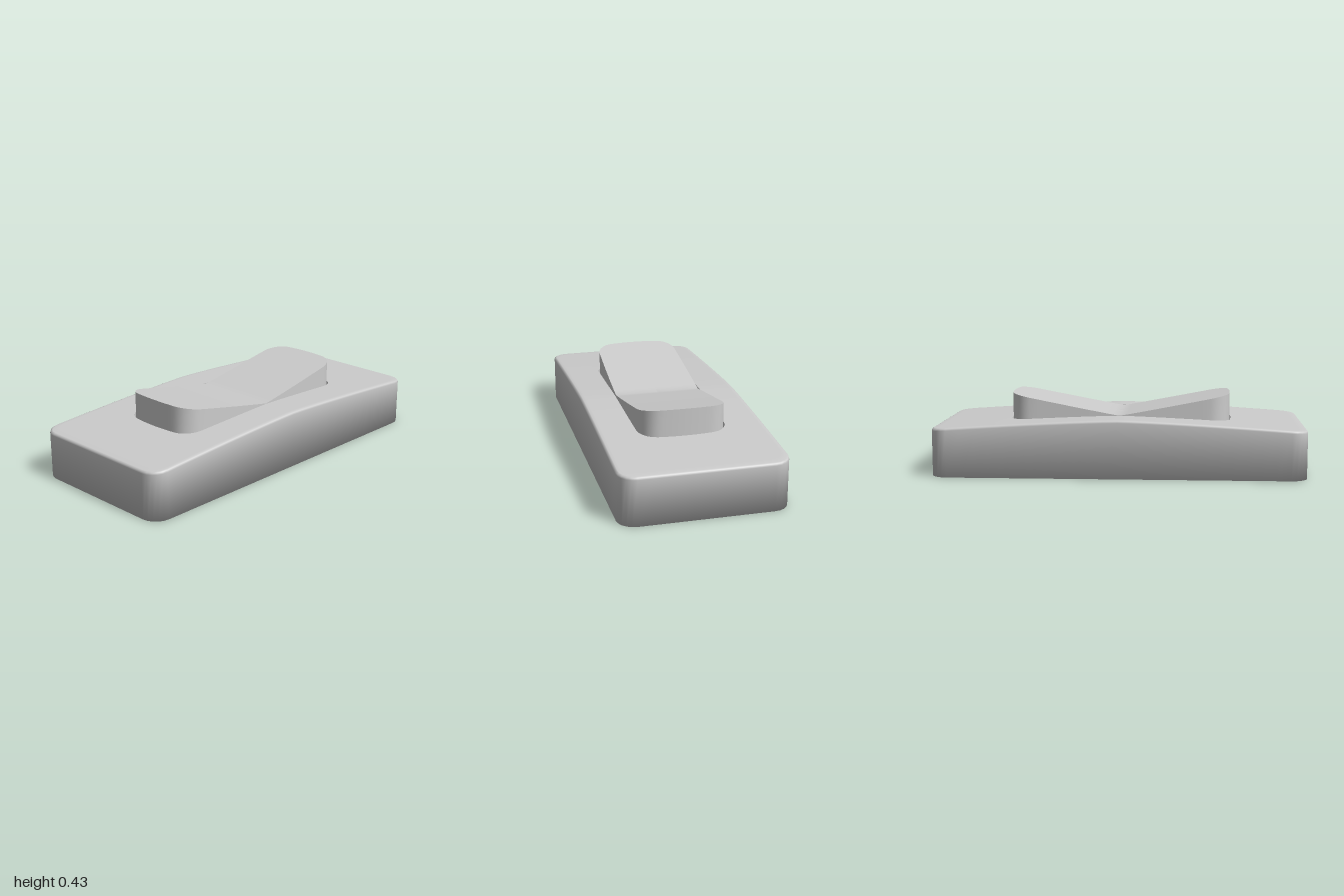
import * as THREE from 'three';
import { mergeGeometries } from 'three/addons/utils/BufferGeometryUtils.js';

const SIDE = 12, ARC = 5, END = 5;

// Rounded rectangle of [x, z] points from +x towards +z; bulges bow the sides and ends outwards
function outline(hw, hd, r, sideBulge = 0, endBulge = 0) {
  const quarter = [];
  for (let i = 0; i < SIDE; i++) quarter.push([hw, (hd - r) * i / SIDE]);
  for (let i = 0; i <= ARC; i++) {
    const a = i / ARC * Math.PI / 2;
    quarter.push([hw - r + r * Math.cos(a), hd - r + r * Math.sin(a)]);
  }
  for (let i = 1; i <= END; i++) quarter.push([(hw - r) * (1 - i / END), hd]);
  const bowed = quarter.map(([x, z]) => [
    x - sideBulge * (x / hw) * (z / hd) ** 2,
    z - endBulge * (z / hd) * (x / hw) ** 2,
  ]);
  const half = [...bowed, ...bowed.slice(0, -1).reverse().map(([x, z]) => [-x, z])];
  return [...half, ...half.slice(1, -1).reverse().map(([x, z]) => [x, -z])];
}

// Lifts an outline to a height, which is a number or a rule of z
function ring(points, height, sx = 1, sz = 1) {
  return points.map(([x, z]) => {
    const pz = z * sz;
    return new THREE.Vector3(x * sx, typeof height === 'function' ? height(pz) : height, pz);
  });
}

const blend = (a, b, t) => a.map(([x, z], i) => [x + (b[i][0] - x) * t, z + (b[i][1] - z) * t]);

// Smooth skin through a list of equal rings
function skin(rings) {
  const n = rings[0].length, index = [];
  for (let i = 0; i < rings.length - 1; i++) {
    for (let j = 0; j < n; j++) {
      const a = i * n + j, b = i * n + (j + 1) % n;
      index.push(a, a + n, b, b, a + n, b + n);
    }
  }
  const geometry = new THREE.BufferGeometry().setFromPoints(rings.flat());
  geometry.setIndex(index);
  geometry.computeVertexNormals();
  return geometry;
}

function part(name, skins) {
  const mesh = new THREE.Mesh(mergeGeometries(skins), new THREE.MeshStandardMaterial({ color: 0xcccccc }));
  mesh.name = name;
  return mesh;
}

export function createModel() {
  const group = new THREE.Group();
  group.name = 'rockerSwitch';

  const crown = z => 0.312 - 0.055 * Math.abs(z) ** 1.3;
  const dish = z => 0.311 + 0.195 * Math.abs(z) ** 1.03;
  const floor = 0.22;

  // Housing: closed base, upright walls, softened rim and crowned top with an opening
  const outer = outline(0.437, 1, 0.09);
  const inset = outline(0.425, 0.988, 0.08);
  const opening = outline(0.243, 0.606, 0.09, 0.01, 0.022);
  const top = [0, 0.08, 0.25, 0.5, 0.75, 1].map(t => ring(blend(inset, opening, t), crown));
  const shell = skin([
    ring(outer, 0, 0, 0),
    ring(outer, 0),
    ring(outer, z => crown(z) - 0.014),
    ring(blend(outer, inset, 0.3), z => crown(z) - 0.004),
    ...top,
  ]);
  const well = skin([ring(opening, crown), ring(opening, floor)]);
  const wellFloor = skin([ring(opening, floor), ring(opening, floor, 0, 0)]);
  group.add(part('housing', [shell, well, wellFloor]));

  // Rocker: bowed sides with a dished top that is lowest in the middle
  const rim = outline(0.236, 0.6, 0.09, 0.01, 0.022);
  const sides = skin([ring(rim, floor), ring(rim, dish)]);
  const face = skin([1, 0.75, 0.5, 0.25, 0].map(s => ring(rim, dish, s)));
  group.add(part('rocker', [sides, face]));

  return group;
}
